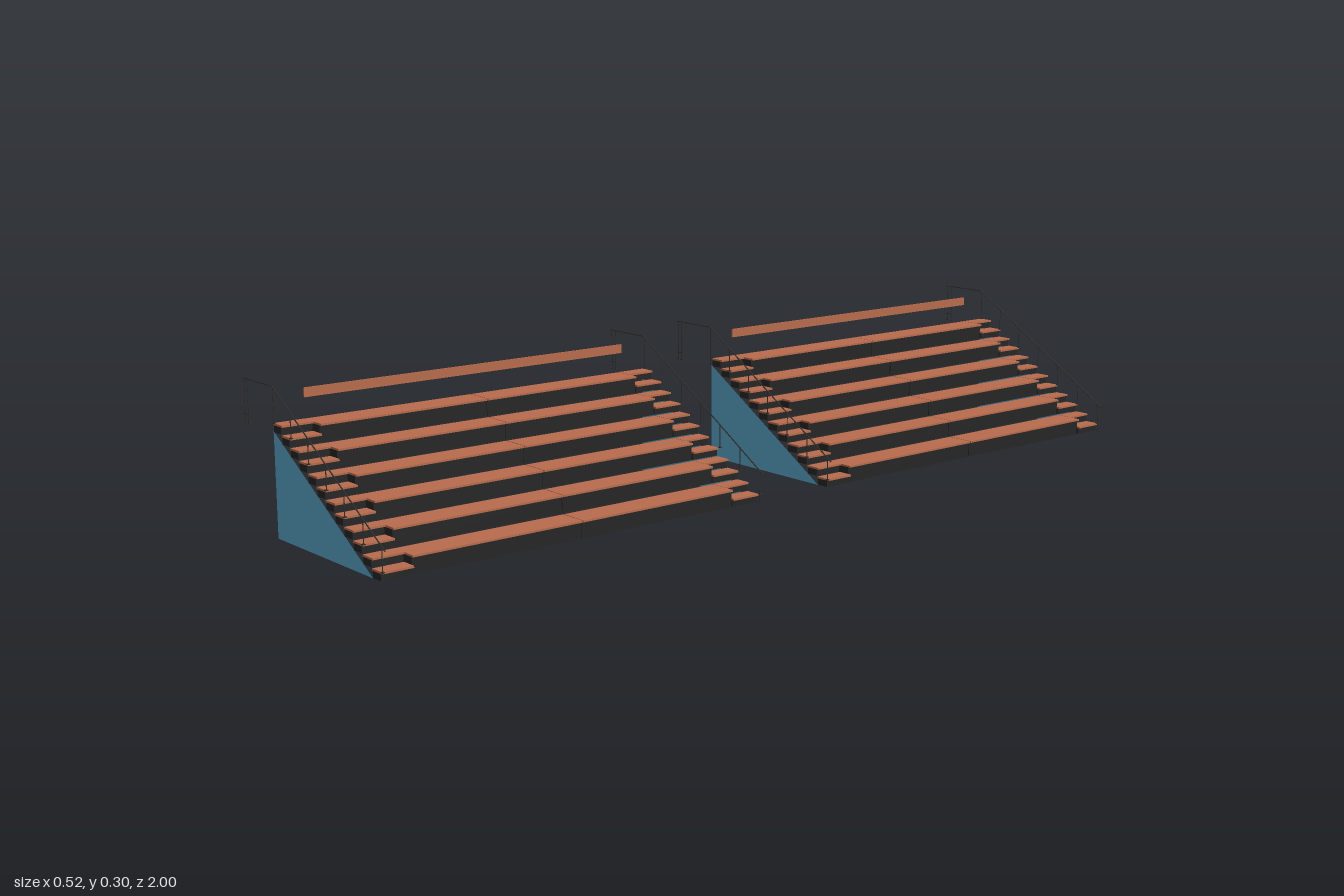
import * as THREE from 'three';

const material = (color) => new THREE.MeshStandardMaterial({ color, side: THREE.DoubleSide });
const wood = material(0xb86c4c);
const dark = material(0x262626);
const blue = material(0x5ba5c9);
const metal = material(0x303030);

const TIERS = 6, RISE = 0.0384, RUN = 0.0643;
const Z_IN = 0.1, Z_OUT = 1, AISLE = 0.067, BOARD = 0.004;

// Box given by its minimum and maximum corners
function block(parent, name, mat, x0, x1, y0, y1, z0, z1) {
  const mesh = new THREE.Mesh(new THREE.BoxGeometry(x1 - x0, y1 - y0, Math.abs(z1 - z0)), mat);
  mesh.position.set((x0 + x1) / 2, (y0 + y1) / 2, (z0 + z1) / 2);
  mesh.name = name;
  parent.add(mesh);
}

// Thin round bar between two points in the plane of a railing
function bar(parent, name, ax, ay, bx, by, radius = 0.0011) {
  const a = new THREE.Vector3(ax, ay, 0), d = new THREE.Vector3(bx - ax, by - ay, 0);
  const mesh = new THREE.Mesh(new THREE.CylinderGeometry(radius, radius, d.length(), 6), metal);
  mesh.position.copy(a).addScaledVector(d, 0.5);
  mesh.quaternion.setFromUnitVectors(new THREE.Vector3(0, 1, 0), d.normalize());
  mesh.name = name;
  parent.add(mesh);
}

function createRailing() {
  const g = new THREE.Group();
  g.name = 'railing';
  bar(g, 'topRail', -0.261, 0.302, -0.142, 0.302, 0.0014);
  bar(g, 'slopedRail', -0.142, 0.302, 0.26, 0.06, 0.0014);
  // Posts standing on the aisle steps
  for (let k = 0; k <= TIERS; k++) {
    const x = 0.249 - k * 0.0645;
    const foot = 0.0187 + Math.min(k * RISE, 0.211);
    bar(g, 'post', x, k === 0 ? 0 : k === TIERS ? 0.215 : foot, x, 0.302 - (x + 0.142) * 0.602);
    block(g, 'postFoot', metal, x - 0.003, x + 0.003, foot - 0.001, foot + 0.001, -0.003, 0.003);
  }
  // Pair of posts at the back end
  for (const x of [-0.255, -0.242]) {
    bar(g, 'backPost', x, 0.214, x, 0.302);
    block(g, 'backFoot', metal, x - 0.003, x + 0.003, 0.213, 0.215, -0.002, 0.002);
  }
  bar(g, 'backCrossbar', -0.262, 0.23, -0.239, 0.23);
  return g;
}

function createStand(side) {
  const g = new THREE.Group();
  g.name = side > 0 ? 'frontStand' : 'backStand';
  const put = (name, mat, x0, x1, y0, y1, z0, z1) =>
    block(g, name, mat, x0, x1, y0, y1, side * z0, side * z1);
  const zA = Z_IN + AISLE, zB = Z_OUT - AISLE, mid = (zA + zB) / 2, gap = 0.001;

  // Seating tiers, each in two lengths, with thin risers and end caps
  for (let k = 0; k < TIERS; k++) {
    const x0 = 0.1805 - k * RUN, top = 0.0375 + k * RISE;
    for (const [za, zb] of [[zA, mid - gap], [mid + gap, zB]]) {
      put('tread', wood, x0, x0 + RUN, top - BOARD, top, za, zb);
      put('riser', dark, x0 + 0.057, x0 + 0.059, k * RISE, top - BOARD, za, zb);
    }
    for (const z of [zA, zB - 0.002])
      put('endCap', dark, x0 + 0.002, x0 + 0.058, top - 0.019, top - BOARD, z, z + 0.002);
  }

  // Aisle steps at both ends, two per tier
  for (const [za, zb] of [[Z_IN, zA], [zB, Z_OUT]]) {
    for (let j = 0; j < TIERS * 2; j++) {
      const x0 = 0.2145 - j * RUN / 2, y0 = j * RISE / 2, top = y0 + 0.0188;
      put('aisleStepBox', dark, x0 + 0.001, x0 + 0.029, y0 + 0.001, top - BOARD, za, zb);
      put('aisleStepTread', wood, x0 - 0.001, x0 + 0.034, top - BOARD, top, za, zb);
    }
  }

  // Triangular side walls under the steps
  const tri = new THREE.Shape([[-0.142, 0], [0.215, 0], [-0.142, 0.214]].map((p) => new THREE.Vector2(...p)));
  for (const z of [Z_IN + 0.001, Z_OUT - 0.001]) {
    const wall = new THREE.Mesh(new THREE.ShapeGeometry(tri), blue);
    wall.position.z = side * z;
    wall.name = 'sideWall';
    g.add(wall);
  }

  // Back board behind the top tier
  put('backBoard', wood, -0.141, -0.1375, 0.272, 0.291, 0.16, zB);

  for (const z of [Z_IN - 0.004, Z_OUT - 0.001]) {
    const railing = createRailing();
    railing.position.z = side * z;
    g.add(railing);
  }
  return g;
}

export function createModel() {
  const model = new THREE.Group();
  model.name = 'grandstands';
  model.add(createStand(1), createStand(-1));
  return model;
}
